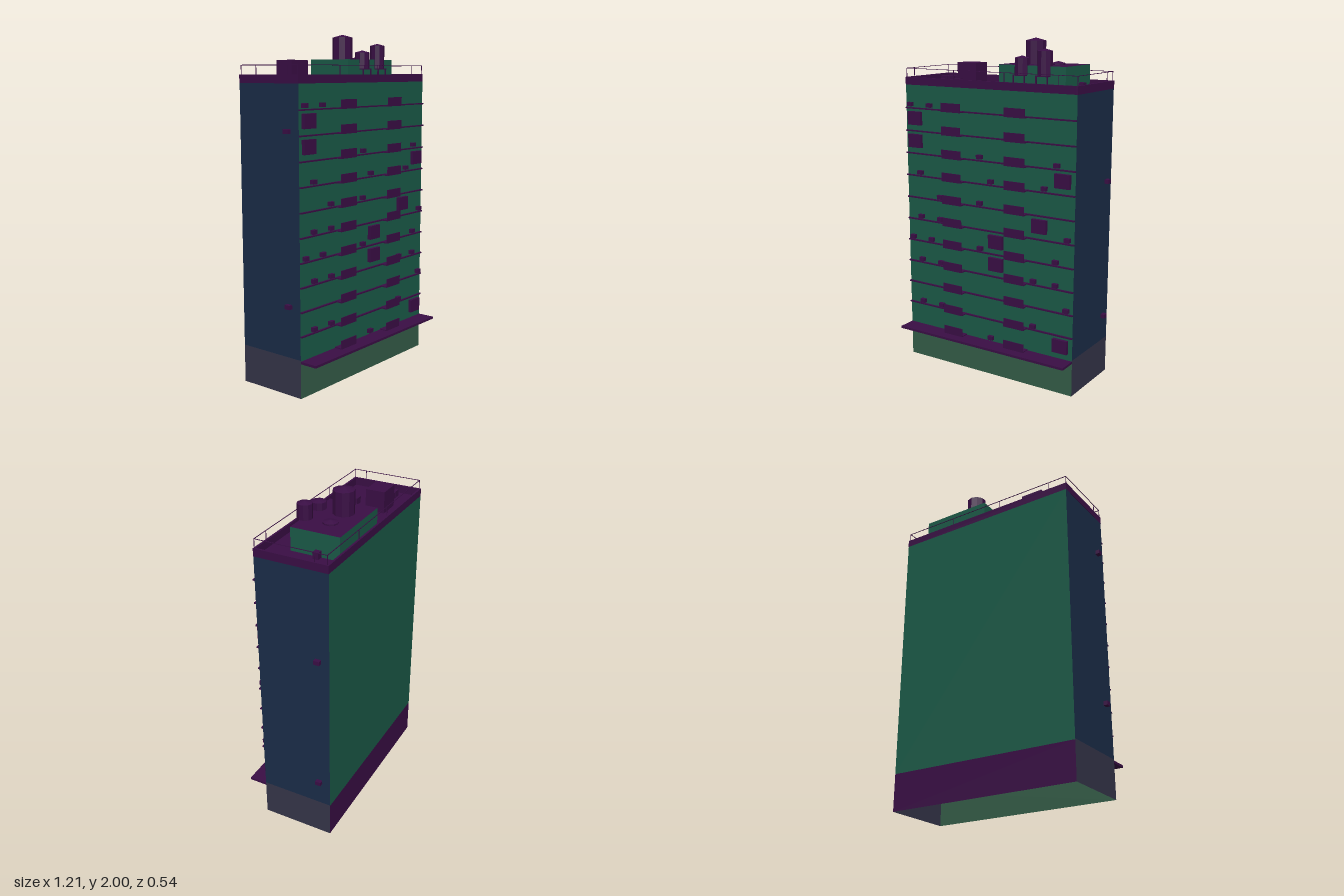
import * as THREE from 'three';

const mat = (color, extra = {}) => new THREE.MeshStandardMaterial({ color, ...extra });
const open = { side: THREE.DoubleSide };
const purple = mat(0x3a0e45, { flatShading: true });
const green = mat(0x1a5a47, open);
const blue = mat(0x1a2c48, open);
const purpleWall = mat(0x3a0e45, open);
const shopFront = mat(0x345c47, open);
const shopSide = mat(0x353549, open);

// Main dimensions
const X = 0.58, ZF = 0.164, ZB = -0.27, ROOF = 1.72, TOP = 1.765;
const ZM = (ZF + ZB) / 2, DEPTH = ZF - ZB;
const FLOOR_STEP = 0.1366, TOP_LEDGE = 1.583;

export function createModel() {
  const model = new THREE.Group();

  const add = (name, geometry, material, x, y, z, parent = model) => {
    const mesh = new THREE.Mesh(geometry, material);
    mesh.name = name;
    mesh.position.set(x, y, z);
    parent.add(mesh);
    return mesh;
  };
  // Box given by its centre in x and z and by its bottom
  const box = (name, w, h, d, x, y, z, material = purple, parent = model) =>
    add(name, new THREE.BoxGeometry(w, h, d), material, x, y + h / 2, z, parent);
  const wall = (name, w, y0, y1, material, x, z, turn) => {
    add(name, new THREE.PlaneGeometry(w, y1 - y0), material, x, (y0 + y1) / 2, z).rotation.y = turn;
  };

  // Shell, open at the bottom
  wall('frontWall', 2 * X, 0.2, ROOF, green, 0, ZF, 0);
  wall('shopFront', 2 * X, 0, 0.2, shopFront, 0, ZF, 0);
  wall('backWall', 2 * X, 0.215, ROOF, green, 0, ZB, Math.PI);
  wall('backBase', 2 * X, 0, 0.215, purpleWall, 0, ZB, Math.PI);
  for (const s of [-1, 1]) {
    wall('sideWall', DEPTH, 0.22, ROOF, blue, s * X, ZM, s * Math.PI / 2);
    wall('sideBase', DEPTH, 0, 0.22, shopSide, s * X, ZM, s * Math.PI / 2);
  }
  const roof = add('roof', new THREE.PlaneGeometry(2 * X, DEPTH), purpleWall, 0, ROOF, ZM);
  roof.rotation.x = -Math.PI / 2;

  // Parapet
  const t = 0.012;
  for (const z of [ZF - t / 2, ZB + t / 2]) box('parapet', 2 * X + 0.004, TOP - ROOF, t, 0, ROOF, z);
  for (const s of [-1, 1]) box('parapet', t, TOP - ROOF, DEPTH, s * (X - t / 2 + 0.002), ROOF, ZM);

  // Canopy over the ground floor
  box('canopy', 2 * X, 0.014, 0.108, 0, 0.201, ZF + 0.054);

  // Ledges, balconies, window boxes and air conditioners, from the top floor down
  const windowBoxes = { 1: -0.51, 2: -0.51, 3: 0.505, 5: 0.36, 6: 0.068, 7: 0.068, 10: 0.505 };
  const coolers = [
    [-0.543, -0.4], [], [-0.042, 0.468], [-0.476, 0.034, 0.39], [-0.33, -0.042],
    [-0.476, -0.33, 0.54], [-0.543, -0.4, -0.042, 0.468], [-0.476, -0.33, 0.325, 0.468],
    [0.54], [-0.476, -0.33, 0.325], [0.034],
  ];
  const sideCoolers = { 1: -1, 3: 1, 8: -1, 9: 1 };
  coolers.forEach((row, i) => {
    const y = TOP_LEDGE - i * FLOOR_STEP;
    const floor = new THREE.Group();
    floor.name = 'floor';
    model.add(floor);
    if (i < 10) box('ledge', 2 * X, 0.008, 0.012, 0, y - 0.004, ZF + 0.006, purple, floor);
    for (const x of [-0.218, 0.216]) {
      box('balconyFloor', 0.136, 0.007, 0.05, x, y - 0.003, ZF + 0.025, purple, floor);
      box('balconyFront', 0.136, 0.052, 0.004, x, y - 0.003, ZF + 0.048, purple, floor);
    }
    for (const x of row) box('airConditioner', 0.034, 0.024, 0.022, x, y + 0.011, ZF + 0.011, purple, floor);
    if (i in windowBoxes) box('windowBox', 0.095, 0.08, 0.02, windowBoxes[i], y + 0.037, ZF + 0.01, purple, floor);
    const s = sideCoolers[i];
    if (s) box('sideAirConditioner', 0.024, 0.024, 0.034, s * (X + 0.012), y + 0.011, s < 0 ? 0.088 : -0.204, purple, floor);
  });

  // Thin roof railing
  const rail = 0.003, railTop = 1.818, zf = ZF - 0.006, zb = ZB + 0.01, xr = X - 0.004;
  const railing = new THREE.Group();
  railing.name = 'railing';
  model.add(railing);
  for (const z of [zf, zb]) box('handrail', 2 * xr, rail, rail, 0, railTop - rail, z, purple, railing);
  for (const s of [-1, 1]) box('handrail', rail, rail, zf - zb, s * xr, railTop - rail, (zf + zb) / 2, purple, railing);
  const post = (x, z) => box('railPost', rail, railTop - ROOF, rail, x, ROOF, z, purple, railing);
  for (let k = 0; k < 4; k++) {
    post(-xr + k * 0.346, zf);
    post(xr - k * 0.346, zb);
  }
  post(xr, zf);
  post(-xr, zb);
  post(xr, zf - 0.346);
  post(-xr, zb + 0.346);

  // Roof house with a dark top
  const house = [green, green, purple, purple, green, green];
  box('roofHouse', 0.434, 1.852 - ROOF, 0.286, 0.217, ROOF, -0.113, house);

  // Machine box and small vents
  box('machineBox', 0.136, 1.846 - ROOF, 0.115, -0.302, ROOF, -0.132);
  for (const [x, z] of [[-0.505, -0.133], [-0.452, -0.133], [-0.398, -0.133], [-0.302, 0.018], [0.45, -0.133]])
    box('roofVent', x > 0 ? 0.036 : 0.048, 0.038, 0.034, x, ROOF, z);

  // Round tanks with shallow cone caps
  const tank = (name, r, y0, y1, x, z) => {
    const cap = r * 0.27;
    const profile = [[0, y0], [r, y0], [r, y1 - cap], [0, y1]].map(p => new THREE.Vector2(...p));
    add(name, new THREE.LatheGeometry(profile, 10), purple, x, 0, z);
  };
  tank('largeTank', 0.06, 1.85, 2.0, 0.148, -0.13);
  tank('lowTank', 0.042, 1.85, 1.872, 0.297, -0.13);
  for (const [x, top] of [[0.148, 1.905], [0.297, 1.947]]) {
    tank('smallTank', 0.043, 1.8, top, x, 0.02);
    box('tankPlatform', 0.08, 0.006, 0.08, x, 1.794, 0.02);
    for (const dx of [-0.036, 0.036])
      for (const dz of [-0.036, 0.036]) box('tankLeg', 0.007, 1.796 - ROOF, 0.007, x + dx, ROOF, 0.02 + dz);
  }

  return model;
}
